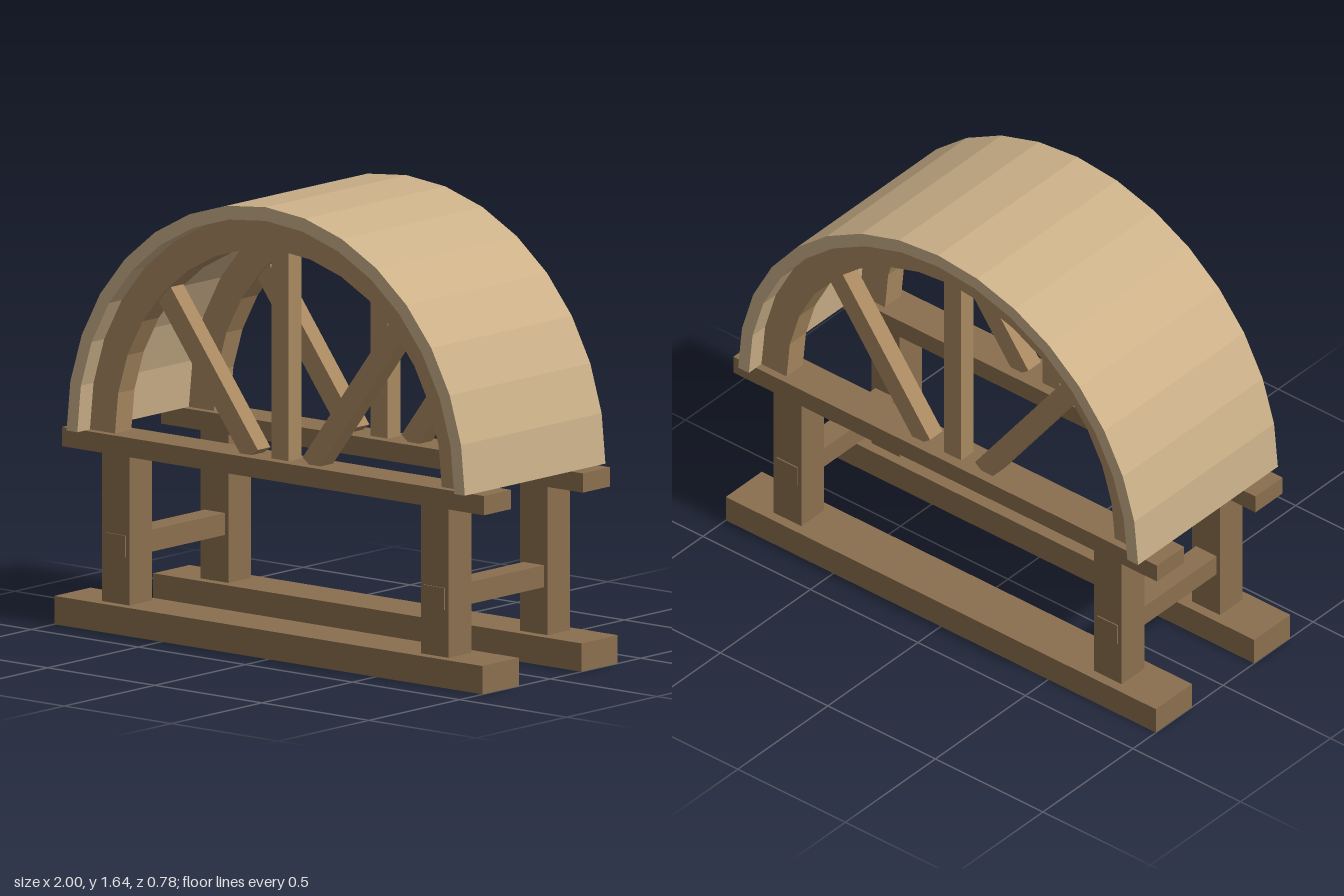
import * as THREE from 'three';

const wood = (color) => new THREE.MeshStandardMaterial({ color, flatShading: true });

export function createModel() {
  const model = new THREE.Group();
  const darkWood = wood(0x8b6f4f), midWood = wood(0xa98960), paleWood = wood(0xcbb088);
  const springY = 0.715, frameZ = 0.273;

  const add = (name, geometry, material, x, y, z) => {
    const mesh = new THREE.Mesh(geometry, material);
    mesh.name = name;
    mesh.position.set(x, y, z);
    model.add(mesh);
    return mesh;
  };
  const box = (name, material, w, h, d, x, y, z) =>
    add(name, new THREE.BoxGeometry(w, h, d), material, x, y, z);

  // Half ring of 16 straight segments, extruded along z and centred
  const halfRing = (outer, inner, depth) => {
    const points = [];
    for (const [r, flip] of [[outer, false], [inner, true]]) {
      for (let i = 0; i <= 16; i++) {
        const a = (Math.PI * (flip ? 16 - i : i)) / 16;
        points.push(new THREE.Vector2(r * Math.cos(a), r * Math.sin(a)));
      }
    }
    const geometry = new THREE.ExtrudeGeometry(new THREE.Shape(points), { depth, bevelEnabled: false });
    return geometry.translate(0, 0, -depth / 2);
  };

  // Curved boarding over both frames
  add('archBoarding', halfRing(0.93, 0.88, 0.776), paleWood, 0, springY, 0);

  for (const side of [1, -1]) {
    const z = side * frameZ;
    // Trestle: ground sill, posts and top beam
    box('groundSill', darkWood, 2, 0.103, 0.2, 0, 0.0515, z);
    box('topBeam', darkWood, 1.97, 0.07, 0.15, 0, 0.68, z);
    for (const end of [1, -1]) box('post', darkWood, 0.13, 0.545, 0.125, end * 0.745, 0.3745, z);

    // Arch rib with its vertical and diagonal struts
    add('archRib', halfRing(0.88, 0.763, 0.09), midWood, 0, springY, z);
    box('verticalStrut', midWood, 0.08, 0.8, 0.07, 0, 1.11, z);
    for (const end of [1, -1]) {
      const strut = box('diagonalStrut', midWood, 0.08, 0.7, 0.07, end * 0.347, 0.993, z);
      strut.rotation.z = -end * 0.645;
    }
  }

  // Cross ties joining the two trestles
  for (const end of [1, -1]) box('crossTie', darkWood, 0.095, 0.08, 0.68, end * 0.745, 0.315, 0);

  return model;
}
